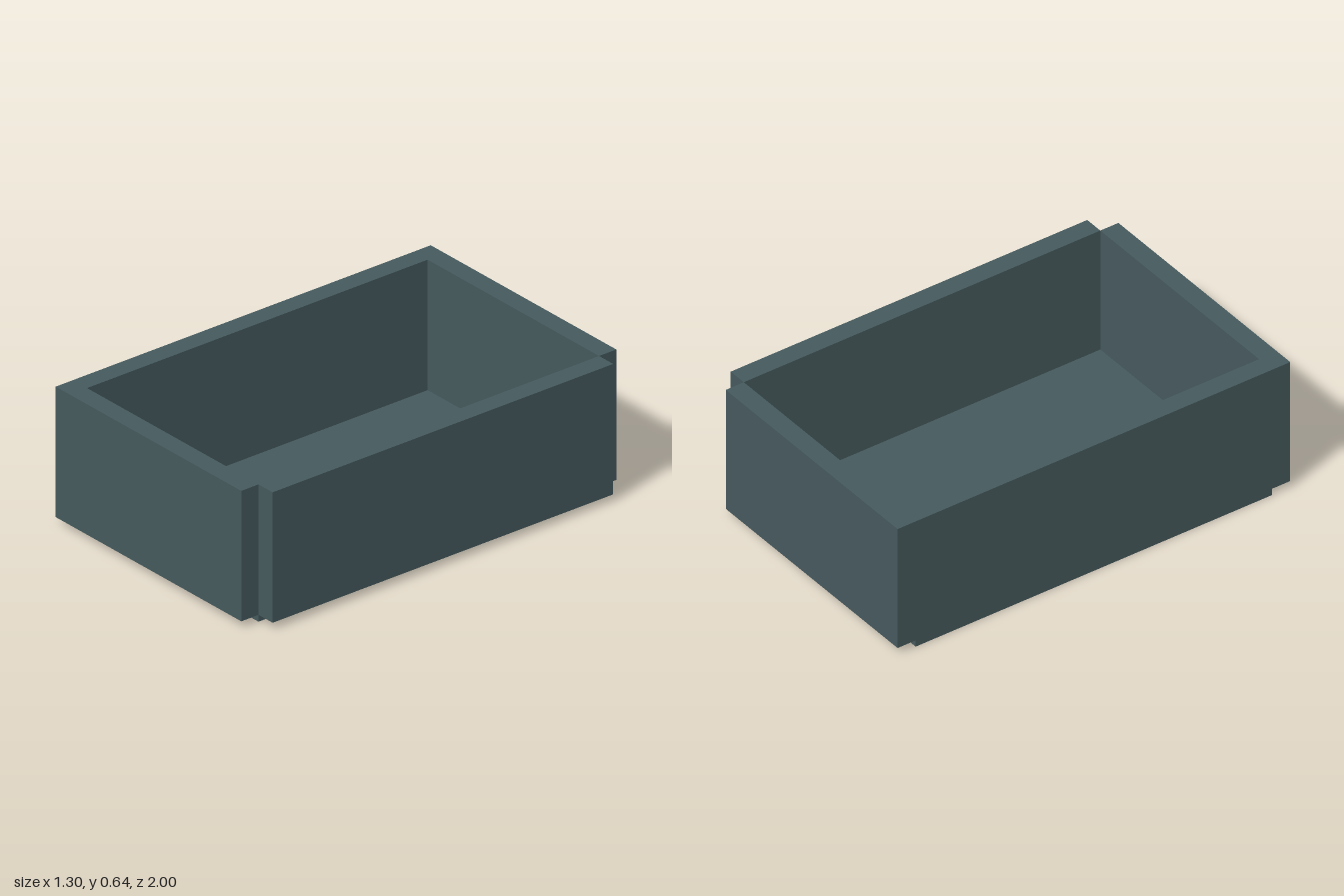
import * as THREE from 'three';

export function createModel() {
  const model = new THREE.Group();
  model.name = 'openTray';
  const slate = new THREE.MeshStandardMaterial({ color: 0x465a5e });
  slate.name = 'slate grey';

  // Board given by its extents along each axis
  const board = (name, [x0, x1], [y0, y1], [z0, z1]) => {
    const mesh = new THREE.Mesh(new THREE.BoxGeometry(x1 - x0, y1 - y0, z1 - z0), slate);
    mesh.name = name;
    mesh.position.set((x0 + x1) / 2, (y0 + y1) / 2, (z0 + z1) / 2);
    model.add(mesh);
  };

  const halfW = 0.65, halfL = 1, wall = 0.092, floor = 0.032, top = 0.638;
  const innerX = halfW - wall, innerZ = halfL - wall;
  const rise = [floor, top];

  // Thin base, flush with the right wall and inset under the others
  board('base', [-halfW, innerX], [0, floor], [-innerZ, innerZ]);

  // Side walls fit between the end walls; the left one stands proud of them
  board('leftWall', [innerX, halfW], rise, [-innerZ, innerZ]);
  board('rightWall', [-halfW, -innerX], rise, [-innerZ, innerZ]);

  // End walls stop short of the left wall, leaving notched corners
  board('frontWall', [-halfW, innerX], rise, [innerZ, halfL]);
  board('backWall', [-halfW, innerX], rise, [-halfL, -innerZ]);

  return model;
}
